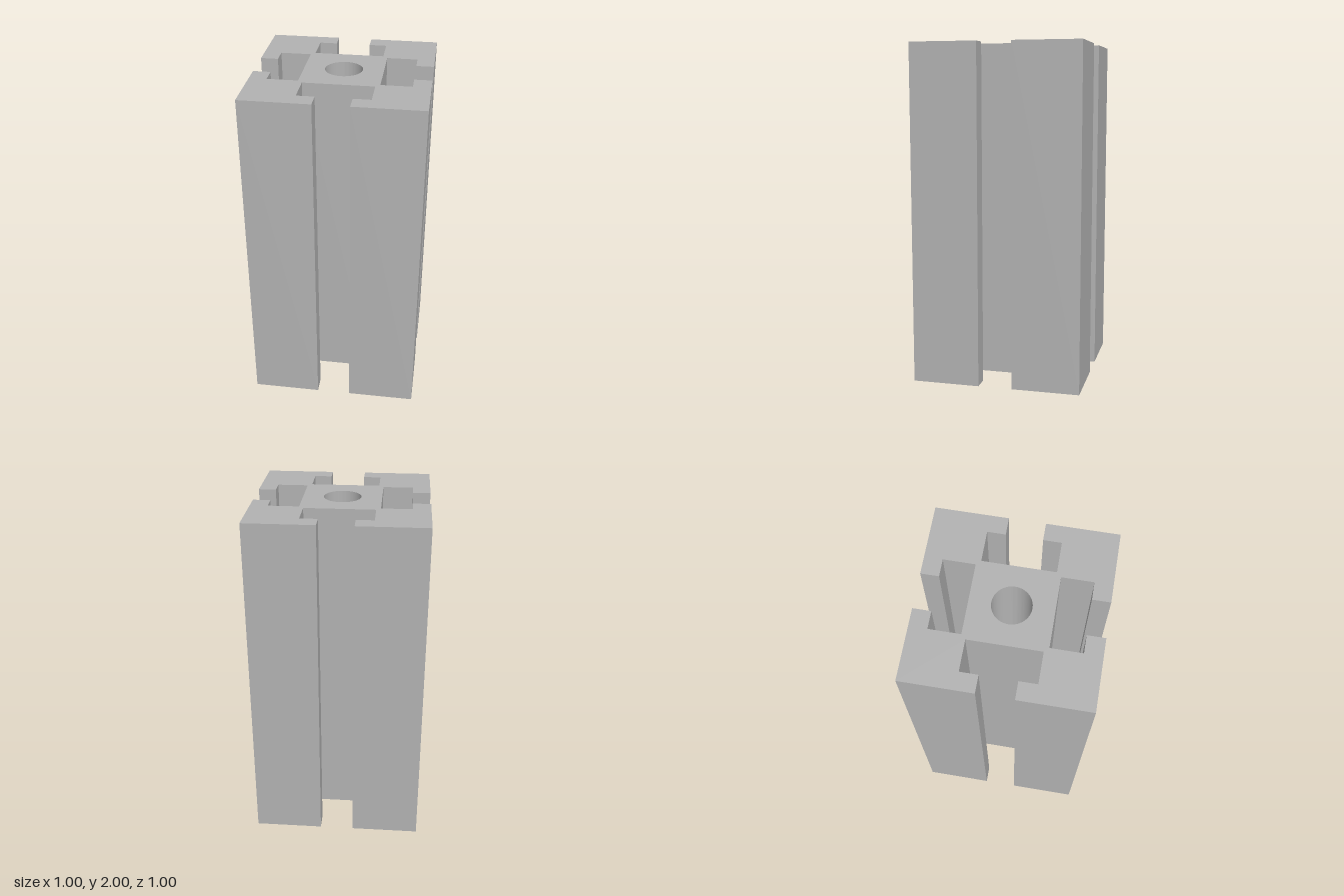
import * as THREE from 'three';
import { toCreasedNormals } from 'three/addons/utils/BufferGeometryUtils.js';

const LENGTH = 2;
const BORE_RADIUS = 0.107;

// One side of the section: a T-slot followed by the outer corner
const SLOT_SIDE = [
  [0.5, -0.1], [0.4, -0.1], [0.4, -0.2], [0.225, -0.2],
  [0.225, 0.2], [0.4, 0.2], [0.4, 0.1], [0.5, 0.1], [0.5, 0.5],
];

// Repeat the side at quarter turns to close the section
function slottedSection() {
  const points = [];
  for (let side = 0; side < 4; side++) {
    for (const [x, y] of SLOT_SIDE) {
      let p = [x, y];
      for (let turn = 0; turn < side; turn++) p = [-p[1], p[0]];
      points.push(new THREE.Vector2(p[0], p[1]));
    }
  }
  const shape = new THREE.Shape(points);
  // Central bore
  shape.holes.push(new THREE.Path().absarc(0, 0, BORE_RADIUS, 0, Math.PI * 2, true));
  return shape;
}

export function createModel() {
  const group = new THREE.Group();
  group.name = 'slottedProfile';

  const aluminium = new THREE.MeshStandardMaterial({ color: 0xb2b2b2 });
  aluminium.name = 'aluminium grey';

  // Extrude the section upwards, smoothing only the bore wall
  let geometry = new THREE.ExtrudeGeometry(slottedSection(), {
    depth: LENGTH, bevelEnabled: false, curveSegments: 48,
  });
  geometry.rotateX(-Math.PI / 2);
  geometry = toCreasedNormals(geometry, Math.PI / 6);

  const rail = new THREE.Mesh(geometry, aluminium);
  rail.name = 'extrudedRail';
  group.add(rail);
  return group;
}
